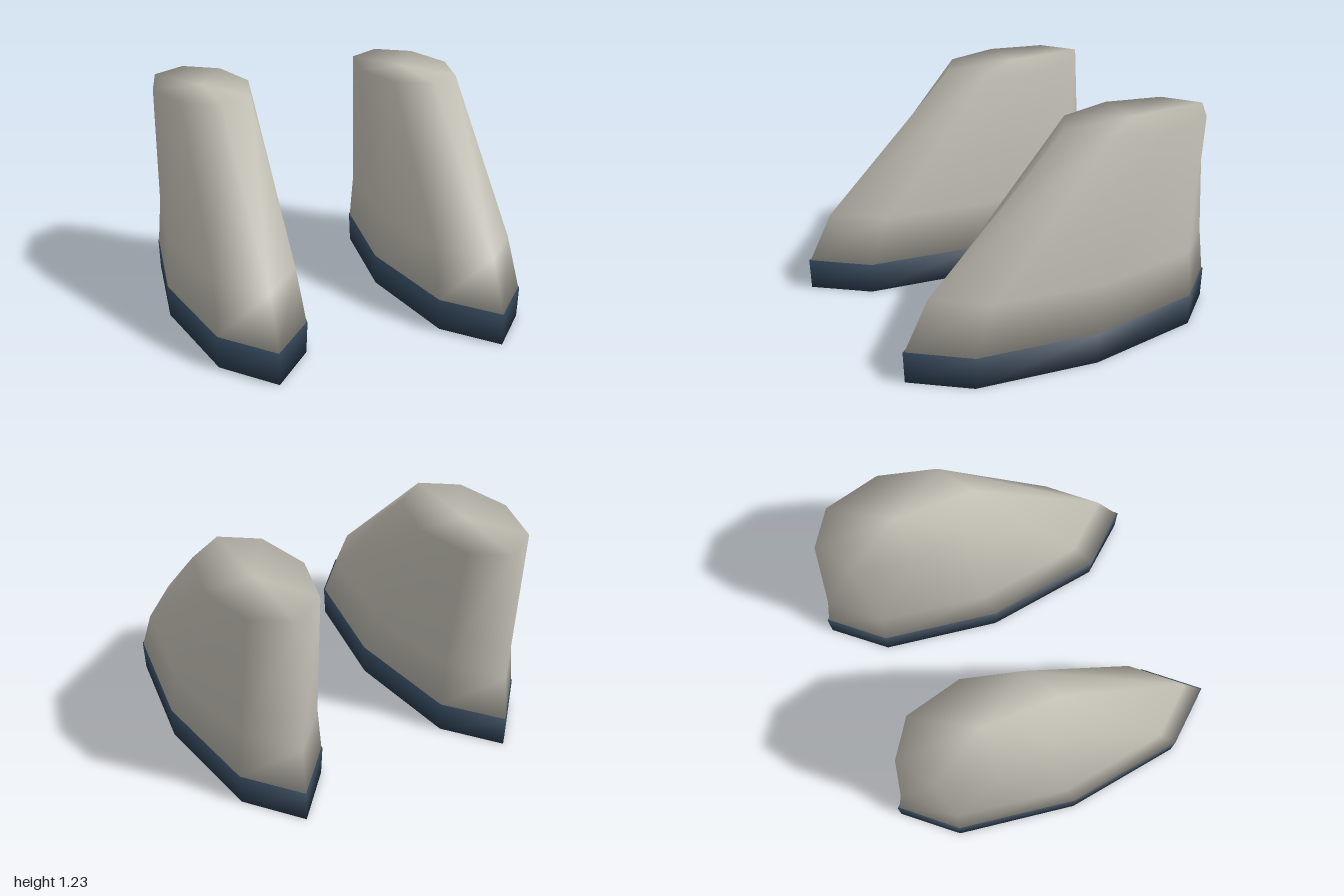
import * as THREE from 'three';

const SIDES = 8;

// Closed, smooth-shaded loft through elliptical eight-sided rings: [y, radiusX, radiusZ, centreZ]
function loft(rings) {
  const pos = [];
  const index = [];
  for (const [y, rx, rz, cz] of rings) {
    for (let i = 0; i < SIDES; i++) {
      const a = (i / SIDES) * Math.PI * 2;
      pos.push(Math.cos(a) * rx, y, cz + Math.sin(a) * rz);
    }
  }
  const first = rings[0];
  const last = rings[rings.length - 1];
  const bottom = rings.length * SIDES;
  const top = bottom + 1;
  pos.push(0, first[0], first[3], 0, last[0], last[3]);

  for (let i = 0; i < SIDES; i++) {
    const j = (i + 1) % SIDES;
    for (let r = 0; r < rings.length - 1; r++) {
      const a = r * SIDES + i;
      const b = r * SIDES + j;
      index.push(a, a + SIDES, b, b, a + SIDES, b + SIDES);
    }
    const t = (rings.length - 1) * SIDES;
    index.push(bottom, i, j, top, t + j, t + i);
  }

  const geometry = new THREE.BufferGeometry();
  geometry.setAttribute('position', new THREE.Float32BufferAttribute(pos, 3));
  geometry.setIndex(index);
  geometry.computeVertexNormals();
  return geometry;
}

export function createModel() {
  const group = new THREE.Group();
  group.name = 'bootPair';

  const upperMaterial = new THREE.MeshStandardMaterial({ color: 0xc0bdb2 });
  upperMaterial.name = 'warmGrey';
  const soleMaterial = new THREE.MeshStandardMaterial({ color: 0x2c3e50 });
  soleMaterial.name = 'darkNavy';

  // Thick sole, slightly narrower at the ground
  const soleGeometry = loft([
    [0, 0.347, 0.99, 0],
    [0.18, 0.356, 0.997, 0],
  ]);

  // Upper: foot, instep, then shaft set back over the heel
  const upperGeometry = loft([
    [0.18, 0.352, 0.987, 0],
    [0.45, 0.325, 0.897, -0.055],
    [1.23, 0.287, 0.465, -0.445],
  ]);

  for (const [name, side] of [['leftBoot', 1], ['rightBoot', -1]]) {
    const boot = new THREE.Group();
    boot.name = name;
    boot.position.x = side * 0.643;

    const sole = new THREE.Mesh(soleGeometry, soleMaterial);
    sole.name = 'sole';
    const upper = new THREE.Mesh(upperGeometry, upperMaterial);
    upper.name = 'upper';

    boot.add(sole, upper);
    group.add(boot);
  }
  return group;
}
